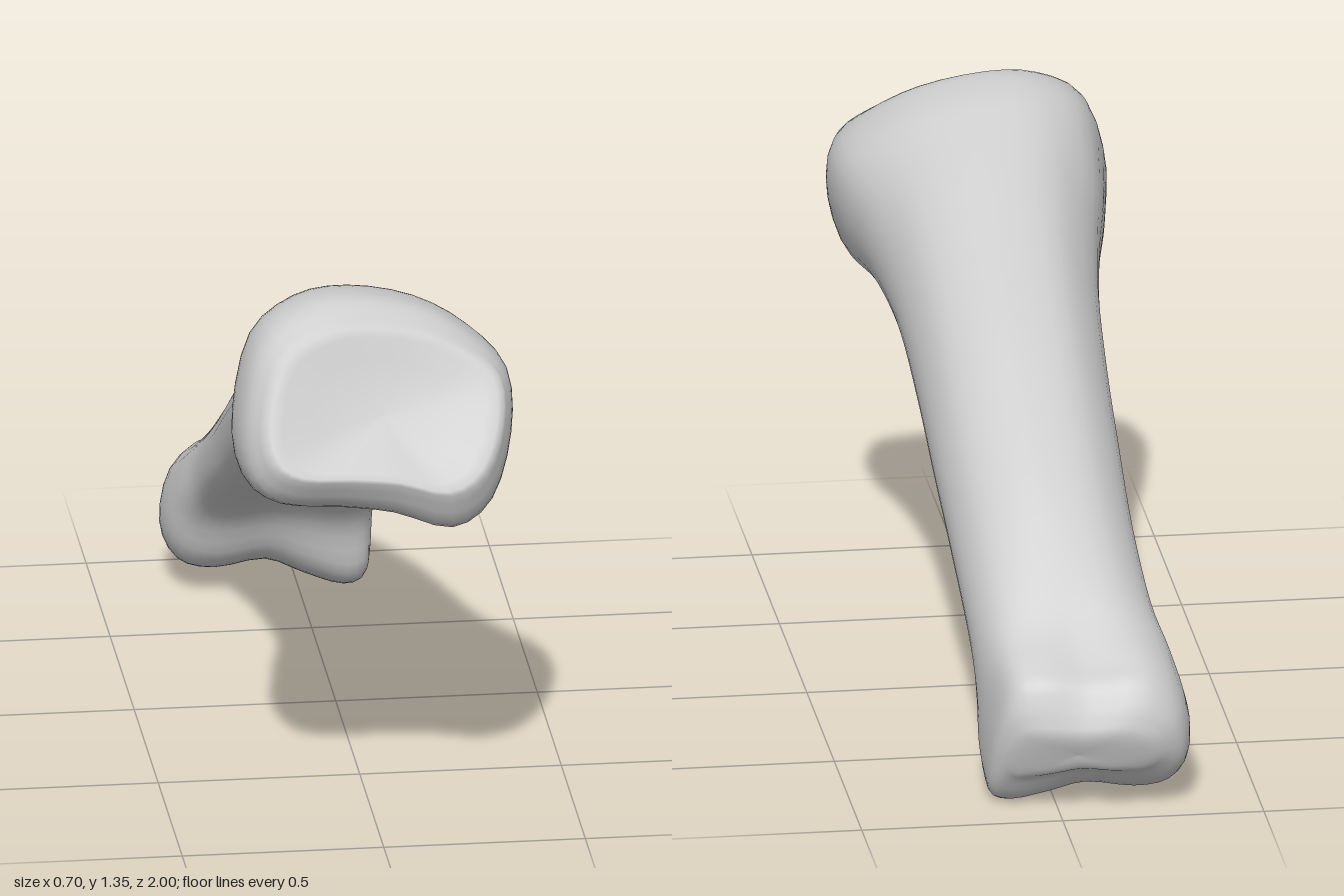
import * as THREE from 'three';

const SIDES = 42;
const V3 = (x, y, z) => new THREE.Vector3(x, y, z);

// Closed cross-section outline: u from -1 to 1 across, v from 0 (under) to 1 (upper)
function outline(points) {
  const curve = new THREE.CatmullRomCurve3(points.map(([u, v]) => V3(u, v, 0)), true, 'catmullrom', 0.5);
  return Array.from({ length: SIDES }, (_, i) => curve.getPoint(i / SIDES));
}

const OUTLINES = [
  // wide base
  outline([[-0.14, 1], [0.35, 0.94], [0.72, 0.81], [0.97, 0.64], [0.98, 0.38], [0.82, 0.11], [0.52, 0],
    [0.1, 0.08], [-0.3, 0.12], [-0.72, 0.15], [-0.95, 0.26], [-0.99, 0.5], [-0.84, 0.83], [-0.52, 0.97]]),
  // shaft, arched above and flat below
  outline([[0, 1], [0.4, 0.95], [0.75, 0.8], [0.95, 0.55], [1, 0.3], [0.9, 0.1], [0.55, 0.02],
    [0.1, 0.05], [-0.2, 0.05], [-0.6, 0.02], [-0.9, 0.1], [-1, 0.3], [-0.93, 0.6], [-0.55, 0.92]]),
  // two-knuckled head with a shallow groove between
  outline([[0, 0.95], [0.4, 0.99], [0.72, 0.95], [0.88, 0.75], [0.97, 0.4], [0.96, 0.08], [0.75, 0],
    [0.38, 0.08], [0, 0.18], [-0.5, 0.13], [-0.85, 0.2], [-1, 0.45], [-0.87, 0.8], [-0.5, 0.99]]),
];

// Stations: upper z, y; under z, y; min x, max x; outline (0 base, 1 shaft, 2 head); skew of z across
const STATIONS = [
  [0.785, 1.3, 1.015, 0.915, -0.29, 0.315, 0, -0.035],
  [0.72, 1.338, 0.965, 0.82, -0.335, 0.34, 0, -0.03],
  [0.65, 1.34, 0.85, 0.79, -0.35, 0.348, 0, -0.01],
  [0.57, 1.32, 0.72, 0.805, -0.335, 0.335, 0.15, 0],
  [0.48, 1.275, 0.58, 0.815, -0.315, 0.295, 0.5, 0],
  [0.35, 1.205, 0.45, 0.8, -0.285, 0.26, 0.85, 0],
  [0.15, 1.09, 0.3, 0.76, -0.26, 0.235, 1, 0],
  [-0.1, 0.95, 0.08, 0.66, -0.25, 0.22, 1, 0],
  [-0.3, 0.82, -0.14, 0.55, -0.25, 0.21, 1, 0],
  [-0.5, 0.68, -0.36, 0.42, -0.255, 0.195, 1, 0],
  [-0.68, 0.53, -0.56, 0.3, -0.275, 0.183, 1.2, 0],
  [-0.79, 0.43, -0.65, 0.2, -0.31, 0.178, 1.6, 0],
  [-0.88, 0.37, -0.69, 0.06, -0.335, 0.175, 2, 0.005],
  [-0.935, 0.335, -0.78, 0.005, -0.335, 0.172, 2, 0.015],
  [-0.965, 0.28, -0.865, 0.005, -0.31, 0.165, 2, 0.025],
  [-0.98, 0.23, -0.925, 0.08, -0.25, 0.13, 2, 0.025],
];

const track = (pick) => new THREE.CatmullRomCurve3(STATIONS.map(pick), false, 'catmullrom', 0.5);
const upper = track((s) => V3(s[7], s[1], s[0])); // x carries the skew
const under = track((s) => V3(0, s[3], s[2]));
const width = track((s) => V3(s[4], s[5], s[6])); // min x, max x, outline

// One ring of the bone at t along its length
function ring(t) {
  const top = upper.getPoint(t), low = under.getPoint(t), w = width.getPoint(t);
  const k = THREE.MathUtils.clamp(w.z, 0, 2);
  const a = Math.min(Math.floor(k), 1);
  return OUTLINES[a].map((p, i) => {
    const q = p.clone().lerp(OUTLINES[a + 1][i], k - a);
    const pt = low.clone().lerp(top, q.y);
    pt.x = (w.x + w.y) / 2 + q.x * (w.y - w.x) / 2;
    pt.z += top.x * q.x;
    return pt;
  });
}

// Rings shrinking to the middle, each [scale, push along direction]
function capRings(rim, direction, steps) {
  const mid = rim.reduce((s, p) => s.add(p), V3(0, 0, 0)).divideScalar(SIDES);
  return steps.map(([scale, push]) =>
    rim.map((p) => mid.clone().lerp(p, scale).addScaledVector(direction, push)));
}

// Skin a row of rings running from front to back
function loft(name, rings, material) {
  const index = [];
  for (let j = 0; j < rings.length - 1; j++) {
    for (let i = 0; i < SIDES; i++) {
      const n = (i + 1) % SIDES;
      const a = j * SIDES + i, b = j * SIDES + n, c = a + SIDES, d = b + SIDES;
      index.push(a, b, c, b, d, c);
    }
  }
  const geometry = new THREE.BufferGeometry().setFromPoints(rings.flat());
  geometry.setIndex(index);
  geometry.computeVertexNormals();
  const mesh = new THREE.Mesh(geometry, material);
  mesh.name = name;
  return mesh;
}

export function createModel() {
  const group = new THREE.Group();
  group.name = 'fingerBone';
  const material = new THREE.MeshStandardMaterial({ color: 0xcccccc, roughness: 0.8 });

  // Flared base, shaft and knuckled head
  const count = 60;
  const body = Array.from({ length: count + 1 }, (_, j) => ring(j / count));

  // Shallow dished joint face with a soft rim at the wide base
  const socket = capRings(body[0], V3(0, 0.52, 0.85),
    [[0.001, -0.022], [0.3, -0.019], [0.6, -0.01], [0.85, 0.002], [0.95, 0.004]]);

  // Rounded end of the head
  const end = capRings(body[count], V3(0, -0.35, -0.94),
    [[0.85, 0.008], [0.6, 0.012], [0.3, 0.012], [0.001, 0.01]]);

  group.add(loft('boneBody', [...socket, ...body, ...end], material));
  return group;
}
